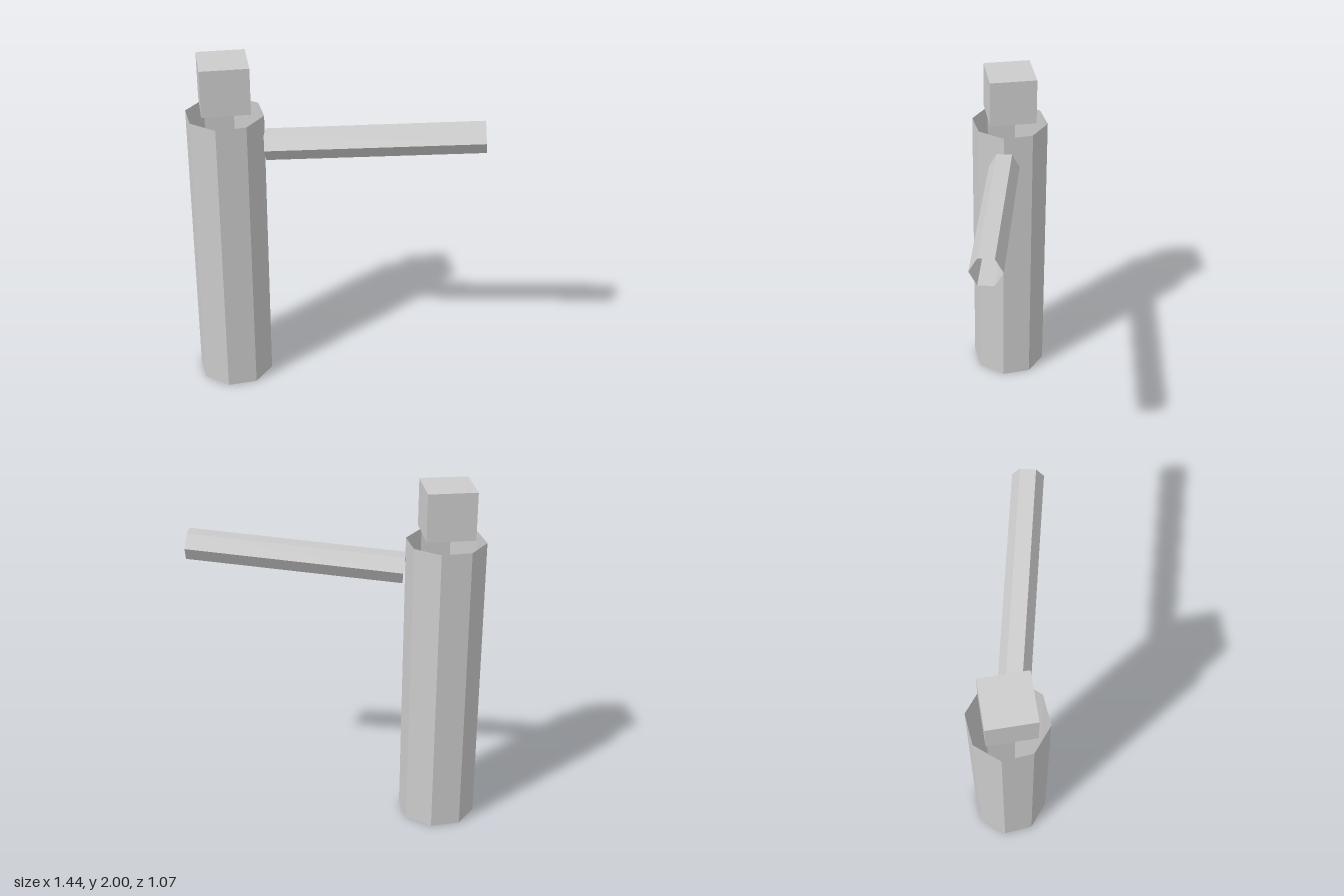
import * as THREE from 'three';

const deg = THREE.MathUtils.degToRad;

export function createModel() {
  const model = new THREE.Group();
  const grey = new THREE.MeshStandardMaterial({ color: 0xcccccc, flatShading: true, side: THREE.DoubleSide });
  grey.name = 'light grey';

  const add = (name, geometry) => {
    const mesh = new THREE.Mesh(geometry, grey);
    mesh.name = name;
    model.add(mesh);
    return mesh;
  };

  // Open tube standing on the ground
  const postHeight = 1.69;
  const post = add('post', new THREE.CylinderGeometry(0.2195, 0.2195, postHeight, 8, 1, true, deg(29.8)));
  post.position.set(-0.513, postHeight / 2, 0.326);

  // Cube floating just above the post
  const size = 0.266;
  const cap = add('capBlock', new THREE.BoxGeometry(size, size, size));
  cap.position.set(-0.512, 2 - size / 2, 0.326);
  cap.rotation.y = deg(47.1);

  // Open six-sided arm, rising slightly towards the back left
  const near = new THREE.Vector3(-0.32, 1.516, 0.212);
  const far = new THREE.Vector3(0.67, 1.604, -0.462);
  const armGeometry = new THREE.CylinderGeometry(0.087, 0.087, near.distanceTo(far), 6, 1, true, deg(30));
  armGeometry.rotateX(Math.PI / 2);
  const arm = add('arm', armGeometry);
  arm.position.copy(near).lerp(far, 0.5);
  arm.lookAt(far);

  return model;
}
